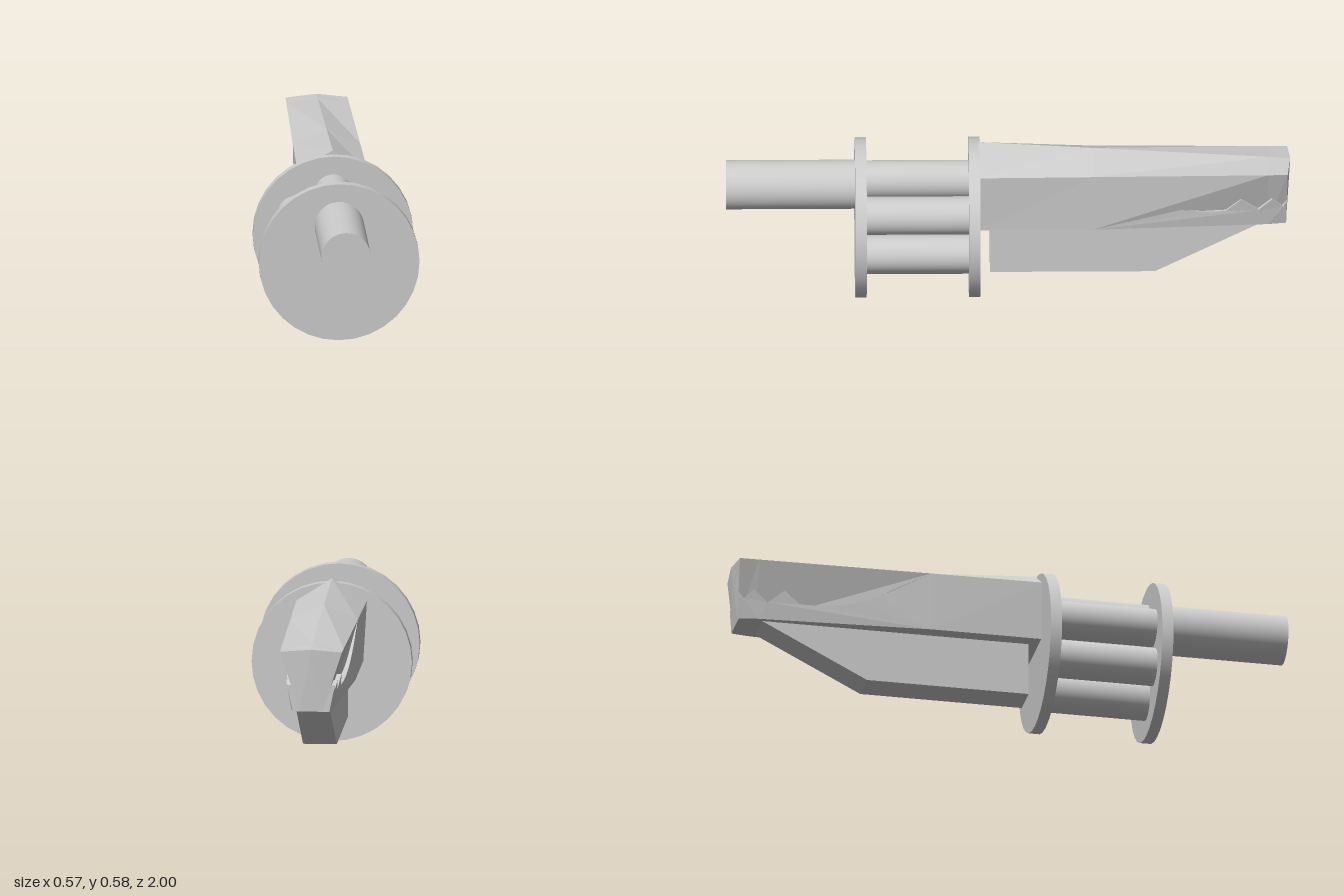
import * as THREE from 'three';

const grey = () => new THREE.MeshStandardMaterial({ color: 0xcccccc });
const lerp = THREE.MathUtils.lerp;
const SHOULDER_Y = 0.505, BASE_Y = 0.29;

// Half-width of the blade at its shoulder and at its lower edge
const shoulderX = z => lerp(0.11, 0.125, (z + 1) / 1.11);
function baseX(z) {
  if (z > -0.3) return 0.112;
  if (z > -0.92) return lerp(0.112, 0.075, (-0.3 - z) / 0.62);
  return lerp(0.075, 0.065, (-0.92 - z) / 0.065);
}

// Closed skin over a row of cross-sections running from front to back
function loft(sections) {
  const pos = [];
  const tri = (...pts) => pts.forEach(p => pos.push(...p));
  const n = sections[0].length;
  for (let s = 0; s < sections.length - 1; s++) {
    const a = sections[s], b = sections[s + 1];
    for (let i = 0; i < n; i++) {
      const j = (i + 1) % n;
      tri(a[i], a[j], b[i]);
      tri(a[j], b[j], b[i]);
    }
  }
  const first = sections[0], last = sections[sections.length - 1];
  for (let i = 1; i < n - 1; i++) {
    tri(first[0], first[i + 1], first[i]);
    tri(last[0], last[i], last[i + 1]);
  }
  const geo = new THREE.BufferGeometry();
  geo.setAttribute('position', new THREE.Float32BufferAttribute(pos, 3));
  geo.computeVertexNormals();
  return geo;
}

// Side profile of [z, y] points extruded along x from 0 to width
function sideProfile(points, width) {
  const shape = new THREE.Shape(points.map(([z, y]) => new THREE.Vector2(-z, y)));
  return new THREE.ExtrudeGeometry(shape, { depth: width, bevelEnabled: false }).rotateY(Math.PI / 2);
}

export function createModel() {
  const group = new THREE.Group();
  const add = (name, geo, x = 0, y = 0, z = 0) => {
    const mesh = new THREE.Mesh(geo, grey());
    mesh.name = name;
    mesh.position.set(x, y, z);
    group.add(mesh);
    return mesh;
  };
  const rod = (name, r, z0, z1, x, y) =>
    add(name, new THREE.CylinderGeometry(r, r, z1 - z0, 32).rotateX(Math.PI / 2), x, y, (z0 + z1) / 2);

  // Handle shaft and the two round plates
  rod('shaft', 0.0875, 0.53, 1, 0, 0.418);
  rod('frontPlate', 0.285, 0.503, 0.543, 0, 0.285);
  rod('backPlate', 0.285, 0.1, 0.14, 0, 0.285);

  // Ring of six rods between the plates
  for (let i = 0; i < 6; i++) {
    const a = i * Math.PI / 3;
    rod('spacerRod', 0.068, 0.13, 0.51, 0.152 * Math.sin(a), 0.285 + 0.152 * Math.cos(a));
  }

  // Ridged blade, its sides sinking inward behind the cheeks
  const sections = [[0.105, 0], [-0.3, 0], [-0.92, 0.028], [-1, 0.025]].map(([z, inset]) => {
    const tip = z === -1;
    const zs = tip ? -0.99 : z, zb = tip ? -0.985 : z;
    const sx = shoulderX(zs), bx = baseX(zb) - inset;
    return [
      [0, lerp(0.515, 0.585, (z + 1) / 1.11), z],
      [sx, SHOULDER_Y, zs], [bx, BASE_Y, zb],
      [-bx, BASE_Y, zb], [-sx, SHOULDER_Y, zs],
    ];
  });
  add('blade', loft(sections));

  // Raised cheeks with a curved, toothed upper edge, bent to the blade side
  const cheek = sideProfile([
    [-0.3, BASE_Y], [-0.3, SHOULDER_Y], [-0.42, 0.44], [-0.48, 0.406], [-0.555, 0.375],
    [-0.62, 0.36], [-0.69, 0.352], [-0.77, 0.352], [-0.825, 0.4], [-0.885, 0.352],
    [-0.935, 0.397], [-0.97, 0.363], [-0.987, 0.385], [-0.985, BASE_Y], [-0.92, BASE_Y],
  ], 0.04);
  const p = cheek.attributes.position;
  for (let i = 0; i < p.count; i++) {
    const y = p.getY(i), z = p.getZ(i);
    const outer = lerp(baseX(z), shoulderX(z), (y - BASE_Y) / (SHOULDER_Y - BASE_Y));
    p.setX(i, outer - 0.04 + p.getX(i));
  }
  cheek.computeVertexNormals();
  add('leftCheek', cheek);
  add('rightCheek', cheek).scale.x = -1;

  // Keel under the blade
  add('keel', sideProfile([[0.065, 0.095], [0.065, 0.3], [-0.9, 0.3], [-0.9, BASE_Y], [-0.52, 0.095]], 0.12), -0.06);

  return group;
}
